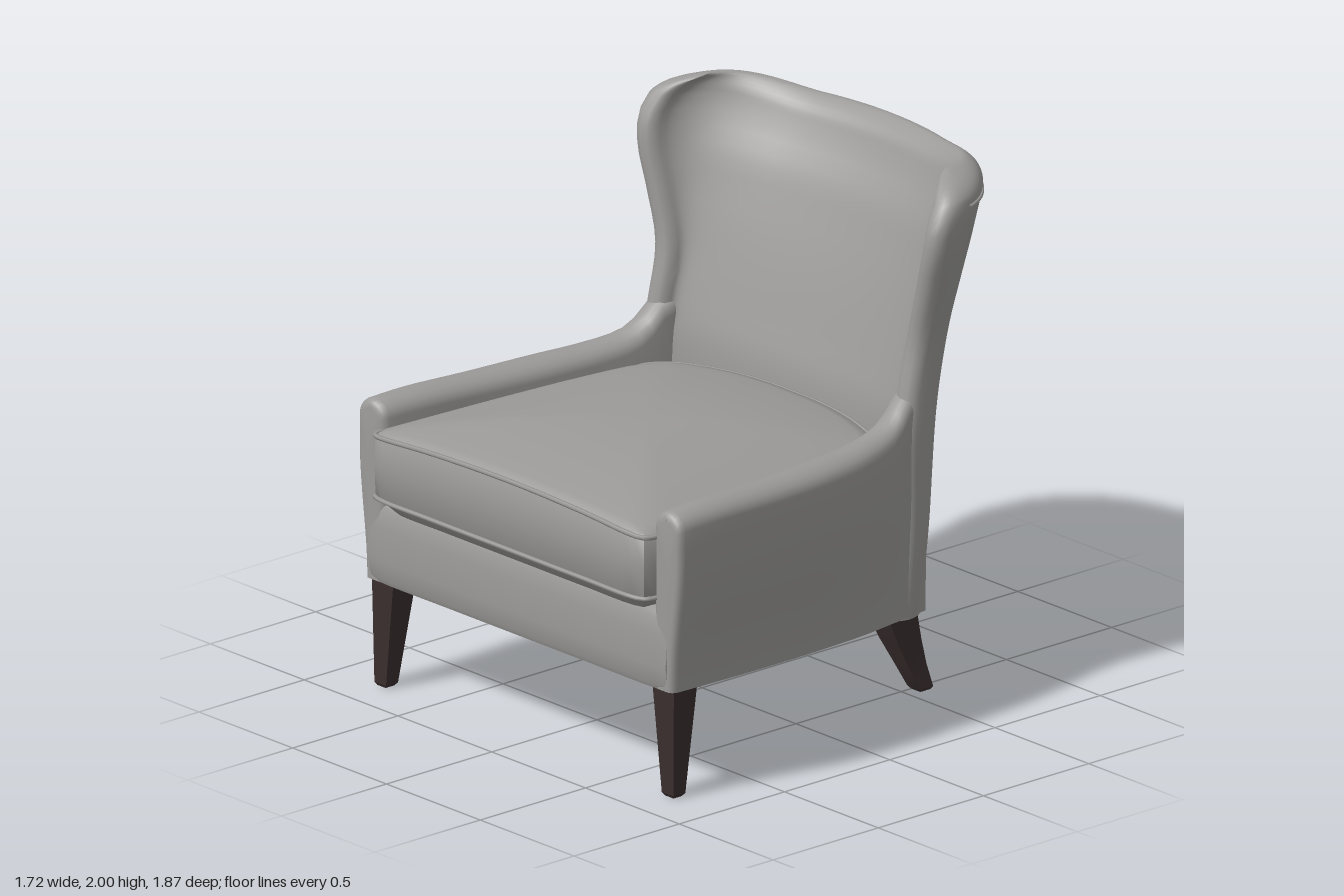
import * as THREE from 'three';
import { toCreasedNormals } from 'three/addons/utils/BufferGeometryUtils.js';

const fabric = new THREE.MeshStandardMaterial({ color: 0x9b9a98 });
fabric.name = 'greyFabric';
const wood = new THREE.MeshStandardMaterial({ color: 0x3a2e2e });
wood.name = 'darkWood';

const V = (x, y, z) => new THREE.Vector3(x, y, z);
const smooth = THREE.MathUtils.smoothstep;
const lerp = THREE.MathUtils.lerp;

// Smooth lookup in rows of [key, ...values]
function table(rows) {
  const size = rows[0].length - 1;
  const interp = new THREE.CubicInterpolant(rows.map(r => r[0]), rows.flatMap(r => r.slice(1)), size);
  return key => Array.from(interp.evaluate(key));
}

// Skin over closed rings of points; faces are turned outwards by the sign of the volume
function loft(rings, { capStart = true, capEnd = true, crease = 0.75 } = {}) {
  const n = rings[0].length, pts = rings.flat(), tris = [];
  for (let r = 0; r < rings.length - 1; r++)
    for (let i = 0; i < n; i++) {
      const a = r * n + i, b = r * n + (i + 1) % n;
      tris.push([a, b, a + n], [b, b + n, a + n]);
    }
  const cap = (ring, base, flip) => {
    const c = ring.reduce((s, p) => s.add(p), V(0, 0, 0)).divideScalar(n);
    const ci = pts.push(c) - 1;
    for (let i = 0; i < n; i++) {
      const a = base + i, b = base + (i + 1) % n;
      tris.push(flip ? [ci, b, a] : [ci, a, b]);
    }
  };
  if (capStart) cap(rings[0], 0, true);
  if (capEnd) cap(rings.at(-1), (rings.length - 1) * n, false);
  let volume = 0;
  for (const [a, b, c] of tris) volume += pts[a].dot(V(0, 0, 0).crossVectors(pts[b], pts[c]));
  const index = tris.flatMap(([a, b, c]) => (volume < 0 ? [a, c, b] : [a, b, c]));
  const g = new THREE.BufferGeometry().setFromPoints(pts);
  g.setIndex(index);
  return toCreasedNormals(g, crease);
}

function add(group, name, geometry, material = fabric) {
  const mesh = new THREE.Mesh(geometry, material);
  mesh.name = name;
  group.add(mesh);
}

const tube = (points, radius, closed = false) =>
  new THREE.TubeGeometry(new THREE.CatmullRomCurve3(points, closed), points.length * 2, radius, 6, closed);

// Mirrored plan outline from right-half [x, z] points running front to back
function outline(half, count) {
  const left = half.slice(1, -1).reverse().map(([x, z]) => [-x, z]);
  const curve = new THREE.CatmullRomCurve3([...half, ...left].map(([x, z]) => V(x, 0, z)), true, 'centripetal');
  return curve.getSpacedPoints(count).slice(0, -1);
}

// Winged back: height -> half width, wing tip z, outer back z, inner back z
const backShape = table([
  [0.36, 0.70, -0.36, -0.63, -0.45], [0.7, 0.715, -0.38, -0.67, -0.43],
  [1.08, 0.72, -0.38, -0.73, -0.45], [1.2, 0.715, -0.40, -0.755, -0.49],
  [1.4, 0.72, -0.44, -0.795, -0.56], [1.6, 0.77, -0.44, -0.84, -0.64],
  [1.75, 0.81, -0.435, -0.88, -0.70], [1.85, 0.82, -0.45, -0.91, -0.76],
  [1.92, 0.81, -0.49, -0.93, -0.79], [1.97, 0.765, -0.535, -0.935, -0.81],
  [2.0, 0.70, -0.59, -0.93, -0.84],
]);
const WING = 0.1, RIM = 1.92;
const dip = (x, y) => y - 0.042 * (1 - smooth(Math.abs(x), 0.3, 0.68)) * smooth(y, 1.5, 2);

function outerPoint(a, y) {
  const [w, zf, zb] = backShape(y);
  const x = w * Math.sin(a);
  return V(x, dip(x, y), zf + (zb - zf) * Math.cos(a));
}

function backRing(y) {
  const [w, zf, zb, zi] = backShape(y), n = 40, ring = [];
  const k = y > RIM ? Math.sqrt(Math.max(0, 1 - ((y - RIM) / (2 - RIM)) ** 2)) : 1;
  const put = (x, z, mx, mz) => {
    const px = lerp(mx, x, k);
    ring.push(V(px, dip(px, y), lerp(mz, z, k)));
  };
  const arc = (i, outer) => {
    const a = (i / n - 0.5) * Math.PI, s = Math.sin(a), c = Math.cos(a);
    put((outer ? w : w - WING) * s, zf + ((outer ? zb : zi) - zf) * c,
      (w - WING / 2) * s, zf + ((zb + zi) / 2 - zf) * c);
  };
  const tip = (side, j) => {
    const a = (j / 6) * Math.PI, cx = side * (w - WING / 2);
    put(cx + side * WING / 2 * Math.cos(a), zf + WING / 2 * Math.sin(a), cx, zf);
  };
  for (let i = 0; i <= n; i++) arc(i, true);
  for (let j = 1; j < 6; j++) tip(1, j);
  for (let i = n; i >= 0; i--) arc(i, false);
  for (let j = 5; j > 0; j--) tip(-1, j);
  return ring;
}

function buildBack(group) {
  const levels = [];
  for (let i = 0; i < 30; i++) levels.push(lerp(0.36, RIM, i / 30));
  for (let i = 0; i <= 8; i++) levels.push(RIM + (2 - RIM) * Math.sin(i / 8 * Math.PI / 2));
  add(group, 'wingedBack', loft(levels.map(backRing), { capStart: false, capEnd: false, crease: 1.1 }));
  // Sewn seams on the outside of the back
  for (const a of [-0.8, 0.8]) {
    const line = Array.from({ length: 14 }, (_, i) => outerPoint(a, lerp(0.37, 1.9, i / 13)));
    add(group, 'backSeam', tube(line, 0.004));
  }
  const rim = Array.from({ length: 31 }, (_, i) => outerPoint((i / 30 - 0.5) * 2.8, 1.9));
  add(group, 'rimPiping', tube(rim, 0.007));
}

// Arms: z -> outer x at top, outer x at base, inner x, top height
const armShape = table([
  [-0.46, 0.685, 0.675, 0.60, 1.22], [-0.36, 0.715, 0.70, 0.60, 1.20],
  [-0.3, 0.73, 0.71, 0.605, 1.14], [-0.25, 0.745, 0.72, 0.61, 1.112],
  [-0.1, 0.785, 0.75, 0.63, 1.088], [0.1, 0.82, 0.775, 0.65, 1.083],
  [0.4, 0.845, 0.80, 0.68, 1.083], [0.7, 0.86, 0.815, 0.70, 1.09], [0.87, 0.86, 0.82, 0.72, 1.085],
]);
const hemY = z => 0.41 - 0.034 * (0.87 - z);

function armRing(side, z, inset = 0) {
  const [xo, xb, xi, top] = armShape(Math.min(z, 0.87));
  const yb = hemY(z), cx = (xo + xi) / 2, rx = (xo - xi) / 2, ry = 0.06, pts = [];
  for (let i = 0; i <= 10; i++) pts.push([lerp(xb, xo, smooth(i, 0, 8)), lerp(yb, top - ry, i / 10)]);
  for (let i = 1; i <= 10; i++) {
    const a = i / 10 * Math.PI;
    pts.push([cx + rx * Math.cos(a), top - ry + ry * Math.sin(a)]);
  }
  pts.push([xi, 0.75], [xi, yb]);
  return pts.map(([x, y]) => V(side * (x - Math.sign(x - cx) * Math.min(inset, Math.abs(x - cx))),
    y > 0.75 ? y - inset * smooth(y, 0.95, top) : y, z));
}

function buildArm(group, side, name) {
  const rings = [];
  for (let i = 0; i <= 26; i++) rings.push(armRing(side, lerp(-0.46, 0.845, i / 26)));
  for (let i = 1; i <= 4; i++) {
    const a = i / 4 * Math.PI / 2;
    rings.push(armRing(side, 0.845 + 0.03 * Math.sin(a), 0.025 * (1 - Math.cos(a))));
  }
  add(group, name, loft(rings));
}

// Upholstered base between the arms, with a slightly sloping hem
function buildBase(group) {
  const plan = outline([[0, 0.88], [0.4, 0.88], [0.74, 0.878], [0.795, 0.865], [0.806, 0.82], [0.785, 0.4],
    [0.755, 0], [0.70, -0.3], [0.66, -0.42], [0.5, -0.53], [0.25, -0.6], [0, -0.622]], 100);
  const levels = [[0.995, 0], [1.003, 0.06], [1.01, 0.3], [1.003, 0.7], [0.995, 0.9], [0.985, 0.97], [0.96, 1]];
  add(group, 'seatBase', loft(levels.map(([s, t]) =>
    plan.map(p => V(p.x * s, lerp(hemY(p.z), 0.705, t), p.z * s)))));
}

// Crowned loose cushion with piping along both edges
function buildCushion(group) {
  const plan = outline([[0, 0.93], [0.4, 0.93], [0.68, 0.926], [0.725, 0.905], [0.732, 0.85], [0.705, 0.4],
    [0.665, 0], [0.61, -0.25], [0.55, -0.33], [0.4, -0.39], [0.2, -0.425], [0, -0.43]], 100);
  const ring = (s, y, crown) => plan.map(p =>
    V(p.x * s, y + crown * (1 - (p.x * s / 0.73) ** 2), 0.25 + (p.z - 0.25) * s));
  const rings = [ring(0.93, 0.695, 0), ring(0.985, 0.74, 0), ring(1, 0.755, 0), ring(1.004, 0.87, 0.015),
    ring(1, 0.975, 0.03), ring(0.985, 0.99, 0.03)];
  for (const s of [0.93, 0.85, 0.7, 0.5, 0.3, 0.1]) rings.push(ring(s, 0.99 + 0.07 * (1 - s * s), 0.03));
  add(group, 'seatCushion', loft(rings));
  add(group, 'upperPiping', tube(ring(1.002, 0.98, 0.03), 0.009, true));
  add(group, 'lowerPiping', tube(ring(1.002, 0.75, 0), 0.009, true));
}

// Square legs from [y, x inner, x outer, z back, z front]
function buildLeg(group, name, side, rows) {
  const rings = rows.map(([y, x0, x1, z0, z1]) =>
    [V(side * x0, y, z0), V(side * x1, y, z0), V(side * x1, y, z1), V(side * x0, y, z1)]);
  add(group, name, loft(rings, { crease: 0.5 }), wood);
}

export function createModel() {
  const chair = new THREE.Group();
  chair.name = 'wingArmchair';
  buildBack(chair);
  buildBase(chair);
  buildCushion(chair);
  for (const [side, label] of [[1, 'left'], [-1, 'right']]) {
    buildArm(chair, side, label + 'Arm');
    buildLeg(chair, label + 'FrontLeg', side, [[0, 0.745, 0.79, 0.8, 0.84], [0.012, 0.735, 0.797, 0.79, 0.847],
      [0.42, 0.69, 0.805, 0.74, 0.852]]);
    buildLeg(chair, label + 'BackLeg', side, [[0, 0.5, 0.548, -0.595, -0.548], [0.012, 0.49, 0.555, -0.603, -0.538],
      [0.1, 0.462, 0.542, -0.582, -0.5], [0.2, 0.436, 0.537, -0.562, -0.452],
      [0.3, 0.415, 0.535, -0.545, -0.412], [0.4, 0.4, 0.535, -0.535, -0.385]]);
  }
  return chair;
}
